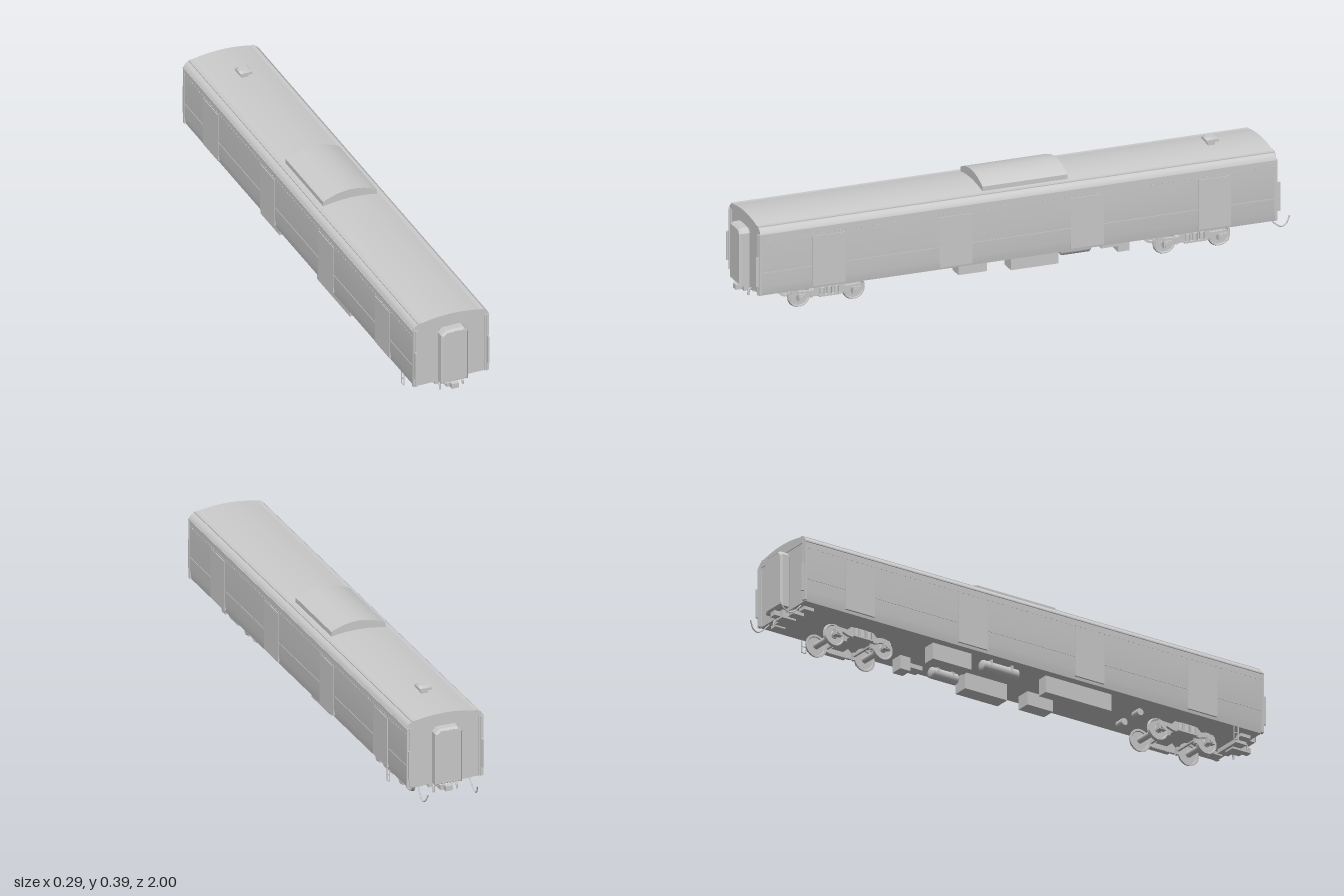
import * as THREE from 'three';
import { mergeGeometries, toCreasedNormals } from 'three/addons/utils/BufferGeometryUtils.js';

const mat = new THREE.MeshStandardMaterial({ color: 0xcccccc });
const Z0 = -0.928, Z1 = 0.952; // ends of the body shell

export function createModel() {
  const root = new THREE.Group();
  root.name = 'railwayBaggageCar';

  const add = (name, geo, x = 0, y = 0, z = 0, parent = root) => {
    const m = new THREE.Mesh(geo, mat);
    m.name = name;
    m.position.set(x, y, z);
    parent.add(m);
    return m;
  };
  // Box given by its min/max extents
  const box = (name, x0, x1, y0, y1, z0, z1, parent = root) =>
    add(name, new THREE.BoxGeometry(x1 - x0, y1 - y0, z1 - z0), (x0 + x1) / 2, (y0 + y1) / 2, (z0 + z1) / 2, parent);
  const cyl = (name, r, len, axis, x, y, z, parent = root, seg = 20) => {
    const g = new THREE.CylinderGeometry(r, r, len, seg);
    if (axis === 'x') g.rotateZ(Math.PI / 2);
    if (axis === 'z') g.rotateX(Math.PI / 2);
    return add(name, g, x, y, z, parent);
  };
  // Symmetric section from its right half (bottom to top), extruded along z
  const section = (half, z0, z1) => {
    const mirrored = half.filter(p => p[0] > 0).reverse().map(([x, y]) => [-x, y]);
    const shape = new THREE.Shape([...half, ...mirrored].map(p => new THREE.Vector2(...p)));
    const g = new THREE.ExtrudeGeometry(shape, { depth: z1 - z0, bevelEnabled: false });
    g.translate(0, 0, z0);
    return toCreasedNormals(g, 0.45);
  };
  const tube = (name, pts, r, parent = root) =>
    add(name, new THREE.TubeGeometry(new THREE.CatmullRomCurve3(pts.map(p => new THREE.Vector3(...p))), 20, r, 6), 0, 0, 0, parent);

  // Body shell and roof
  add('body', section([[0.134, 0.095], [0.14, 0.13], [0.14, 0.318]], Z0, Z1));
  add('roof', section([[0.142, 0.316], [0.139, 0.325], [0.131, 0.334], [0.119, 0.34], [0.1, 0.3435],
    [0.075, 0.348], [0.04, 0.352], [0, 0.3535]], Z0 - 0.003, Z1 + 0.003));
  add('roofHousing', section([[0.1, 0.335], [0.1, 0.36], [0.092, 0.365], [0.052, 0.3795], [0.025, 0.384], [0, 0.386]], -0.183, 0.127));

  // Roof vent
  box('ventNeck', -0.012, 0.012, 0.35, 0.37, -0.757, -0.733);
  const cap = new THREE.CylinderGeometry(0.022, 0.032, 0.007, 4).rotateY(Math.PI / 4);
  add('ventCap', cap, 0, 0.3795, -0.745);
  box('ventRim', -0.0225, 0.0225, 0.367, 0.376, -0.7675, -0.7225);

  // Side details: gutters, belt strip, doors and rivet row
  for (const s of [1, -1]) {
    const side = new THREE.Group();
    side.name = s > 0 ? 'leftSide' : 'rightSide';
    root.add(side);
    const strip = (name, x0, x1, ...r) => box(name, Math.min(s * x0, s * x1), Math.max(s * x0, s * x1), ...r, side);
    strip('lowerGutter', 0.137, 0.1435, 0.315, 0.319, Z0 - 0.004, Z1 + 0.004);
    strip('upperGutter', 0.108, 0.122, 0.337, 0.342, Z0 - 0.003, Z1 + 0.003);
    strip('beltStrip', 0.138, 0.1415, 0.1765, 0.1795, Z0, Z1);
    for (const z of [0.705, 0.24, -0.24, -0.705]) {
      strip('door', 0.136, 0.1425, 0.105, 0.287, z - 0.06, z + 0.06);
    }
    const rivets = [];
    for (let z = Z0 + 0.01; z < Z1; z += 0.02) {
      rivets.push(new THREE.BoxGeometry(0.003, 0.004, 0.005).translate(s * 0.1405, 0.294, z));
    }
    add('rivets', mergeGeometries(rivets), 0, 0, 0, side);
    // Corner posts and handrails at both ends
    for (const [zEnd, d] of [[Z1, 1], [Z0, -1]]) {
      const span = (a, b) => [Math.min(zEnd + d * a, zEnd + d * b), Math.max(zEnd + d * a, zEnd + d * b)];
      strip('cornerPost', 0.125, 0.141, 0.097, 0.318, ...span(-0.004, 0.006));
      strip('cornerTrim', 0.129, 0.133, 0.097, 0.318, ...span(0, 0.01));
      strip('cornerPlate', 0.132, 0.138, 0.13, 0.235, ...span(0, 0.018));
    }
    // Hanging stirrup step
    const zs = s > 0 ? -0.75 : 0.85;
    for (const dz of [-0.009, 0.009]) strip('stirrupLeg', 0.13, 0.133, 0.047, 0.1, zs + dz - 0.0015, zs + dz + 0.0015);
    for (const y of [0.047, 0.07]) strip('stirrupRung', 0.13, 0.133, y, y + 0.003, zs - 0.009, zs + 0.009);
  }

  // Ends: gangway frame with a recessed door, coupler, end sill and hoses
  const loop = (path, w, y0, y1, c) => {
    [[-w, y0], [w, y0], [w, y1 - c], [w - c, y1], [-w + c, y1], [-w, y1 - c]].forEach(([x, y], i) => i ? path.lineTo(x, y) : path.moveTo(x, y));
    path.closePath();
    return path;
  };
  for (const d of [1, -1]) {
    const end = new THREE.Group();
    end.name = d > 0 ? 'frontEnd' : 'backEnd';
    end.position.z = d > 0 ? Z1 : Z0;
    if (d < 0) end.rotation.y = Math.PI;
    root.add(end);
    const frame = loop(new THREE.Shape(), 0.05, 0.102, 0.31, 0.016);
    frame.holes.push(loop(new THREE.Path(), 0.035, 0.112, 0.297, 0.01));
    add('gangwayFrame', new THREE.ExtrudeGeometry(frame, {
      depth: 0.026, bevelThickness: 0.008, bevelSize: 0.007, bevelOffset: -0.007, bevelSegments: 1,
    }), 0, 0, 0.007, end);
    box('gangwayDoor', -0.04, 0.04, 0.108, 0.3, 0, 0.026, end);
    box('couplerPocket', -0.021, 0.021, 0.073, 0.102, -0.04, 0.015, end);
    box('couplerShank', -0.008, 0.008, 0.08, 0.094, 0, 0.024, end);
    box('couplerHead', -0.013, 0.013, 0.078, 0.096, 0.02, 0.042, end);
    box('endSill', -0.055, 0.055, 0.08, 0.098, -0.05, -0.006, end);
    for (const s of [1, -1]) {
      box('sillBracket', s * 0.085 - 0.015, s * 0.085 + 0.015, 0.083, 0.098, -0.06, -0.02, end);
      tube('airPipe', [[s * 0.04, 0.095, -0.02], [s * 0.042, 0.085, 0.004], [s * 0.043, 0.066, 0.008]], 0.004, end);
      if (d < 0) tube('jumperHose', [[s * 0.095, 0.095, -0.01], [s * 0.096, 0.072, 0.012], [s * 0.097, 0.056, 0.036],
        [s * 0.095, 0.063, 0.056], [s * 0.09, 0.09, 0.071]], 0.0025, end);
    }
  }

  // Bogies
  const wheelProfile = [[0.001, -0.004], [0.012, -0.005], [0.014, -0.002], [0.033, -0.002], [0.035, -0.005],
    [0.039, -0.005], [0.042, 0.003], [0.042, 0.005], [0.034, 0.005], [0.032, 0.002], [0.001, 0.002]];
  for (const zc of [0.68, -0.655]) {
    const bogie = new THREE.Group();
    bogie.name = 'bogie';
    bogie.position.z = zc;
    root.add(bogie);
    for (const dz of [0.1, -0.1]) {
      cyl('axle', 0.011, 0.16, 'x', 0, 0.042, dz, bogie);
      for (const s of [1, -1]) {
        const g = toCreasedNormals(new THREE.LatheGeometry(wheelProfile.map(p => new THREE.Vector2(...p)), 28), 0.5);
        g.rotateZ(s * Math.PI / 2);
        add('wheel', g, s * 0.055, 0.042, dz, bogie);
        box('axleBox', s * 0.078 - 0.009, s * 0.078 + 0.009, 0.031, 0.057, dz - 0.014, dz + 0.014, bogie);
        cyl('axleCap', 0.01, 0.008, 'x', s * 0.087, 0.043, dz, bogie);
      }
    }
    // Side frames with drop centre, springs and brake gear
    for (const s of [1, -1]) {
      const f = new THREE.Shape([[-0.115, 0.052], [-0.085, 0.052], [-0.055, 0.042], [0.055, 0.042], [0.085, 0.052], [0.115, 0.052],
        [0.112, 0.066], [0.06, 0.064], [0.045, 0.078], [-0.045, 0.078], [-0.06, 0.064], [-0.112, 0.066]].map(p => new THREE.Vector2(...p)));
      const g = new THREE.ExtrudeGeometry(f, { depth: 0.01, bevelEnabled: false }).translate(0, 0, -0.005).rotateY(Math.PI / 2);
      add('sideFrame', g, s * 0.076, 0, 0, bogie);
      for (const dz of [-0.026, 0, 0.026]) cyl('spring', 0.009, 0.026, 'y', s * 0.083, 0.06, dz, bogie, 12);
      box('springPlank', s * 0.082 - 0.01, s * 0.082 + 0.01, 0.041, 0.047, -0.04, 0.04, bogie);
      for (const dz of [0.055, -0.055]) box('brakeShoe', s * 0.055 - 0.006, s * 0.055 + 0.006, 0.03, 0.058, dz - 0.004, dz + 0.004, bogie);
    }
    box('bolster', -0.08, 0.08, 0.06, 0.08, -0.024, 0.024, bogie);
    cyl('centrePivot', 0.025, 0.02, 'y', 0, 0.088, 0, bogie);
    for (const dz of [0.055, -0.055]) box('brakeBeam', -0.055, 0.055, 0.041, 0.047, dz - 0.004, dz + 0.004, bogie);
  }

  // Underfloor equipment
  [['batteryBox', -0.104, -0.062, 0.033, 0.085, 0.355], ['smallLocker', 0.035, 0.088, 0.045, 0.105, 0.21],
    ['coolingUnit', 0.03, 0.088, 0.035, -0.155, 0.018], ['rearLocker', -0.104, -0.055, 0.035, -0.38, -0.222],
    ['controlBox', 0.04, 0.088, 0.045, -0.415, -0.373], ['sideBox', 0.075, 0.118, 0.079, -0.375, -0.3],
  ].forEach(([name, x0, x1, y0, z0, z1]) => box(name, x0, x1, y0, 0.097, z0, z1));
  for (const [x, z, len] of [[0.06, -0.225, 0.1], [-0.085, -0.095, 0.14]]) {
    cyl('airReservoir', 0.02, len, 'z', x, 0.073, z);
    for (const e of [-1, 1]) {
      const dome = add('reservoirEnd', new THREE.SphereGeometry(0.02, 20, 8), x, 0.073, z + e * len / 2);
      dome.scale.z = 0.35;
      box('reservoirHanger', x - 0.021, x + 0.021, 0.073, 0.097, z + e * len * 0.3 - 0.003, z + e * len * 0.3 + 0.003);
    }
  }
  for (const [x, z] of [[0.045, 0.5], [-0.05, 0.5], [0.045, -0.52]]) {
    cyl('brakeCylinder', 0.013, 0.035, 'x', x, 0.083, z);
  }
  return root;
}
